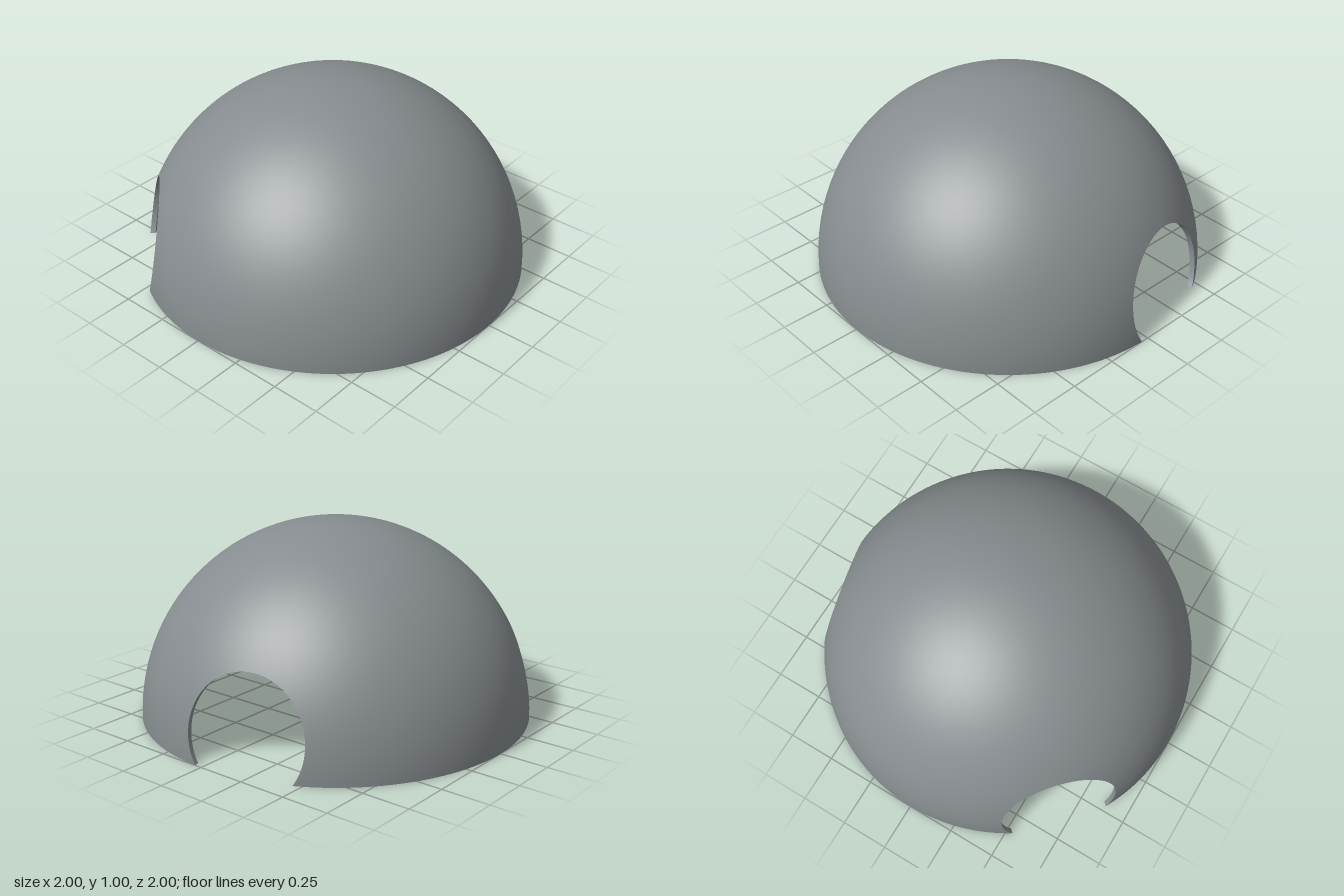
import * as THREE from 'three';
import { mergeGeometries } from 'three/addons/utils/BufferGeometryUtils.js';

const DEG = Math.PI / 180;
const OUTER = 1, INNER = 0.974;
const HOLE_R = 0.305, HOLE_Y = 0.166;   // horizontal round cut-outs
const STEP = 1.5, PATCH = 30, TOP = 48; // degrees: lattice, patch half width, patch height
const HOLES = [12.6, 137.1];            // headings, from +x towards -z

// point on a sphere from heading and elevation in degrees
function onSphere(r, az, el) {
  const a = az * DEG, e = el * DEG;
  return new THREE.Vector3(r * Math.cos(e) * Math.cos(a), r * Math.sin(e), -r * Math.cos(e) * Math.sin(a));
}

// grid surface, facing du x dv
function grid(nu, nv, point, flip = false, sphereNormals = false) {
  const pos = [], index = [];
  for (let j = 0; j <= nv; j++)
    for (let i = 0; i <= nu; i++) pos.push(...point(i / nu, j / nv).toArray());
  for (let j = 0; j < nv; j++)
    for (let i = 0; i < nu; i++) {
      const a = j * (nu + 1) + i, b = a + 1, c = b + nu + 1, d = a + nu + 1;
      if (flip) index.push(a, c, b, a, d, c);
      else index.push(a, b, c, a, c, d);
    }
  const g = new THREE.BufferGeometry();
  g.setAttribute('position', new THREE.Float32BufferAttribute(pos, 3));
  g.setIndex(index);
  g.computeVertexNormals();
  if (sphereNormals) {
    const p = g.attributes.position, n = g.attributes.normal, v = new THREE.Vector3();
    for (let i = 0; i < p.count; i++) {
      v.fromBufferAttribute(p, i).normalize().multiplyScalar(flip ? -1 : 1);
      n.setXYZ(i, v.x, v.y, v.z);
    }
  }
  return g;
}

// hole outline on a sphere of radius r, as heading offset and elevation
function holeEdge(r, t) {
  const start = -Math.asin(HOLE_Y / HOLE_R);
  const ang = start + t * (Math.PI - 2 * start);
  const y = Math.max(0, HOLE_Y + HOLE_R * Math.sin(ang));
  const side = HOLE_R * Math.cos(ang);
  return [Math.asin(side / Math.sqrt(r * r - y * y)) / DEG, Math.asin(y / r) / DEG];
}

// border of the patch round a hole: up one side, across the top, down the other
const SIDE = 16, ACROSS = 2 * PATCH / STEP, BORDER = 2 * SIDE + ACROSS;
function patchEdge(t) {
  const k = t * BORDER;
  if (k <= SIDE) return [PATCH, TOP * k / SIDE];
  if (k <= SIDE + ACROSS) return [PATCH - (k - SIDE) * STEP, TOP];
  return [-PATCH, TOP * (BORDER - k) / SIDE];
}

// headings of the plain wall between the two patches
const WALLS = [
  [HOLES[0] + PATCH, HOLES[1] - PATCH],
  [HOLES[1] + PATCH, HOLES[0] - PATCH + 360],
];

function shell(r, flip) {
  const parts = [
    // crown
    grid(360 / STEP, 20, (u, v) => onSphere(r, HOLES[0] + 360 * u, TOP + (90 - TOP) * v), flip, true),
  ];
  for (const [from, to] of WALLS)
    parts.push(grid(Math.round((to - from) / STEP), SIDE,
      (u, v) => onSphere(r, from + (to - from) * u, TOP * v), flip, true));
  for (const heading of HOLES)
    parts.push(grid(10, BORDER, (u, v) => {
      const h = holeEdge(r, v), p = patchEdge(v);
      return onSphere(r, heading + h[0] + (p[0] - h[0]) * u, h[1] + (p[1] - h[1]) * u);
    }, flip, true));
  return mergeGeometries(parts);
}

// wall thickness shown round a hole
function holeLip(heading) {
  return grid(1, BORDER, (u, v) => {
    const r = u ? OUTER : INNER, h = holeEdge(r, v);
    return onSphere(r, heading + h[0], h[1]);
  });
}

// underside of the wall, running from one hole to the next
function baseRim() {
  return mergeGeometries(WALLS.map(([from, to]) => grid(1, 160, (u, v) => {
    const r = u ? INNER : OUTER, reach = PATCH - holeEdge(r, 0)[0];
    return onSphere(r, from - reach + (to - from + 2 * reach) * v, 0);
  })));
}

export function createModel() {
  const model = new THREE.Group();
  model.name = 'dome';
  const grey = new THREE.MeshStandardMaterial({ color: 0x868c8f });
  grey.name = 'slate grey';
  const add = (name, geometry) => {
    const mesh = new THREE.Mesh(geometry, grey);
    mesh.name = name;
    model.add(mesh);
  };
  add('outerShell', shell(OUTER, false));
  add('innerShell', shell(INNER, true));
  add('sideHoleLip', holeLip(HOLES[0]));
  add('backHoleLip', holeLip(HOLES[1]));
  add('baseRim', baseRim());
  return model;
}
